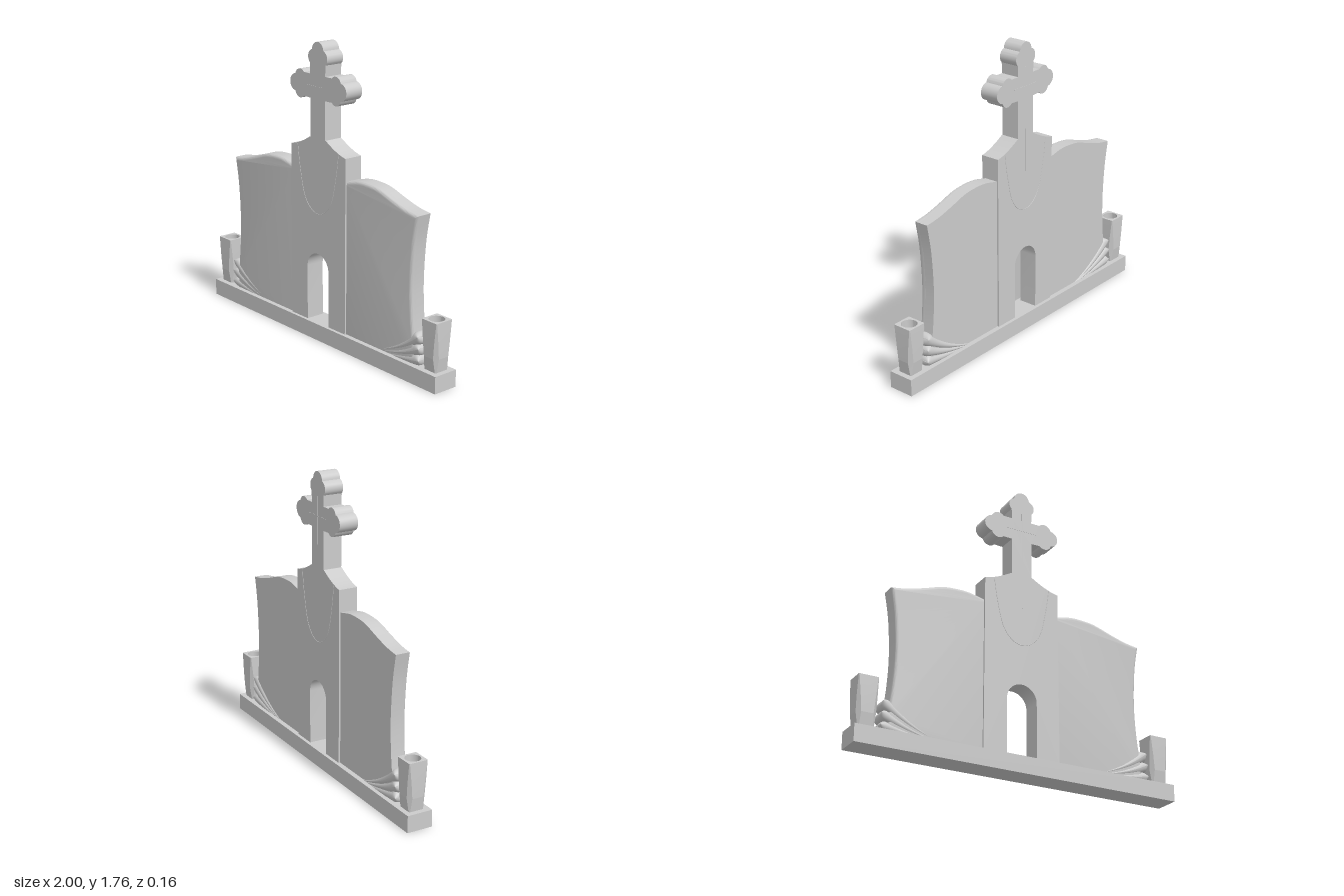
import * as THREE from 'three';
import { toCreasedNormals } from 'three/addons/utils/BufferGeometryUtils.js';

const V2 = (x, y) => new THREE.Vector2(x, y);
const stone = new THREE.MeshStandardMaterial({ color: 0xcccccc });
const thin = new THREE.MeshStandardMaterial({ color: 0xcccccc, side: THREE.DoubleSide });

function add(parent, name, geometry, material = stone) {
  const mesh = new THREE.Mesh(geometry, material);
  mesh.name = name;
  parent.add(mesh);
  return mesh;
}

function extrude(points, z0, z1, options = {}) {
  const g = new THREE.ExtrudeGeometry(new THREE.Shape(points), { depth: z1 - z0, bevelEnabled: false, ...options });
  g.translate(0, 0, z0);
  return toCreasedNormals(g, 0.5);
}

// Points on an arc, angles in degrees
function arc(cx, cy, r, a0, a1, n = 14) {
  return Array.from({ length: n + 1 }, (_, i) => {
    const a = THREE.MathUtils.degToRad(a0 + ((a1 - a0) * i) / n);
    return V2(cx + r * Math.cos(a), cy + r * Math.sin(a));
  });
}

// Three-lobed end of a cross arm, pointing from (x, y) along the angle
function trefoil(x, y, angle) {
  const lobes = [...arc(0, -0.038, 0.045, 222, 345), ...arc(0.04, 0, 0.05, -86, 86), ...arc(0, 0.038, 0.045, 15, 138)];
  return lobes.map((p) => p.rotateAround(V2(0, 0), angle).add(V2(x, y)));
}

// Pillar with doorway, shoulders and cross in one outline
function pillarGeometry() {
  const shoulder = new THREE.QuadraticBezierCurve(V2(0.24, 1.14), V2(0.17, 1.15), V2(0.07, 1.21)).getPoints(8);
  const left = shoulder.map((p) => V2(-p.x, p.y)).reverse();
  return extrude([
    V2(-0.24, 0.1), V2(-0.095, 0.1), ...arc(0, 0.43, 0.095, 180, 0, 24), V2(0.095, 0.1), V2(0.24, 0.1),
    ...shoulder, V2(0.065, 1.21), V2(0.065, 1.435),
    ...trefoil(0.155, 1.505, 0), V2(0.065, 1.573),
    ...trefoil(0, 1.67, Math.PI / 2), V2(-0.065, 1.573),
    ...trefoil(-0.155, 1.505, Math.PI), V2(-0.065, 1.435), V2(-0.065, 1.21), ...left,
  ], -0.055, 0.06);
}

// Wing slab: sharp at the back, softened along the front edge
function addWing(parent, side, name) {
  const top = new THREE.SplineCurve([
    V2(0.2, 1.0), V2(0.26, 1.012), V2(0.33, 1.027), V2(0.4, 1.03), V2(0.5, 1.02), V2(0.62, 0.982), V2(0.72, 0.954), V2(0.81, 0.94),
  ]).getPoints(28);
  const edge = new THREE.SplineCurve([
    V2(0.81, 0.94), V2(0.783, 0.78), V2(0.77, 0.57), V2(0.776, 0.4), V2(0.79, 0.27), V2(0.8, 0.2),
  ]).getPoints(20).slice(1);
  const outline = [V2(0.2, 0.07), ...top, ...edge, V2(0.8, 0.07)].map((p) => V2(p.x * side, p.y));
  const wing = new THREE.Group();
  wing.name = name;
  add(wing, 'wingBack', extrude(outline, -0.045, 0.02));
  add(wing, 'wingFront', extrude(outline, 0.015, 0.035, {
    bevelEnabled: true, bevelThickness: 0.015, bevelSize: 0.018, bevelOffset: -0.018, bevelSegments: 4,
  }));
  parent.add(wing);
}

// Fold: a lathe bent along a curve and widened across the slab
function foldGeometry(control, end) {
  const path = new THREE.QuadraticBezierCurve(V2(0.46, 0.085), control, end);
  const R = 0.037;
  const radius = (t) => R * (0.12 + 0.88 * t);
  const profile = [];
  for (let i = 0; i <= 16; i++) profile.push(V2(radius(i / 16), i / 16));
  for (let i = 1; i <= 8; i++) {
    const a = (i / 8) * Math.PI / 2;
    profile.push(V2(Math.max(R * Math.cos(a), 0.0008), 1 + R * 0.85 * Math.sin(a)));
  }
  const g = new THREE.LatheGeometry(profile, 28);
  const pos = g.attributes.position;
  for (let i = 0; i < pos.count; i++) {
    const x = pos.getX(i), y = pos.getY(i), z = pos.getZ(i);
    const t = Math.min(y, 1);
    const p = path.getPoint(t), d = path.getTangent(t);
    const s = z / Math.hypot(x, z);
    const depth = Math.sign(s) * Math.abs(s) ** 0.7 * (0.047 + 0.25 * radius(t));
    pos.setXYZ(i, p.x + d.y * x + d.x * (y - t), p.y - d.x * x + d.y * (y - t), depth);
  }
  g.computeVertexNormals();
  return g;
}

// Square vase with cut corners and a round hollow
function addVase(parent) {
  const vase = new THREE.Group();
  vase.name = 'vase';
  vase.position.set(0.922, 0, 0);
  const ring = (h, c) => [[h, c - h], [h, h - c], [h - c, h], [c - h, h], [-h, h - c], [-h, c - h], [c - h, -h], [h - c, -h]];
  const levels = [[0.1, 0.046, 0.006], [0.18, 0.057, 0.022], [0.27, 0.059, 0.016], [0.388, 0.058, 0.003]];
  const verts = [], index = [];
  levels.forEach(([y, h, c], k) => {
    ring(h, c).forEach(([x, z]) => verts.push(x, y, z));
    for (let i = 0; k > 0 && i < 8; i++) {
      const a = (k - 1) * 8 + i, b = (k - 1) * 8 + ((i + 1) % 8);
      index.push(a, a + 8, b, b, a + 8, b + 8);
    }
  });
  const wall = new THREE.BufferGeometry();
  wall.setAttribute('position', new THREE.Float32BufferAttribute(verts, 3));
  wall.setIndex(index);
  add(vase, 'vaseWall', toCreasedNormals(wall, 0.1), thin);
  const rim = new THREE.Shape(ring(0.058, 0.003).map(([x, z]) => V2(x, z)));
  rim.holes.push(new THREE.Path().absarc(0, 0, 0.045, 0, Math.PI * 2, true));
  add(vase, 'vaseRim', new THREE.ShapeGeometry(rim, 24).rotateX(-Math.PI / 2).translate(0, 0.388, 0), thin);
  const hollow = new THREE.LatheGeometry([V2(0.045, 0.388), V2(0.045, 0.3), V2(0, 0.3)], 32);
  add(vase, 'vaseHollow', toCreasedNormals(hollow, 0.6), thin);
  parent.add(vase);
}

export function createModel() {
  const model = new THREE.Group();
  model.name = 'memorialStone';

  add(model, 'base', new THREE.BoxGeometry(2, 0.1, 0.155).translate(0, 0.05, 0.002));
  add(model, 'pillarAndCross', pillarGeometry());
  addWing(model, 1, 'leftWing');
  addWing(model, -1, 'rightWing');

  // Folds and vases, turned about the centre for the other side
  const folds = [[0.66, 0.135, 0.808, 0.248], [0.67, 0.115, 0.812, 0.186], [0.68, 0.1, 0.812, 0.125]];
  ['left', 'right'].forEach((name, i) => {
    const end = new THREE.Group();
    end.name = name + 'End';
    end.rotation.y = i * Math.PI;
    folds.forEach(([cx, cy, ex, ey]) => add(end, 'fold', foldGeometry(V2(cx, cy), V2(ex, ey))));
    addVase(end);
    model.add(end);
  });

  // Fine carved lines on both faces
  const sweep = new THREE.CatmullRomCurve3([
    [-0.18, 1.15], [-0.16, 1.02], [-0.115, 0.85], [-0.06, 0.785], [0, 0.765], [0.06, 0.785], [0.115, 0.85], [0.16, 1.02], [0.18, 1.15],
  ].map(([x, y]) => new THREE.Vector3(x, y, 0)));
  [0.06, -0.055].forEach((z) => {
    add(model, 'uprightLine', new THREE.BoxGeometry(0.006, 0.62, 0.003).translate(0, 1.31, z));
    add(model, 'crossLine', new THREE.BoxGeometry(0.2, 0.006, 0.003).translate(0, 1.505, z));
    add(model, 'curvedLine', new THREE.TubeGeometry(sweep, 48, 0.002, 6).translate(0, 0, z));
  });
  return model;
}
